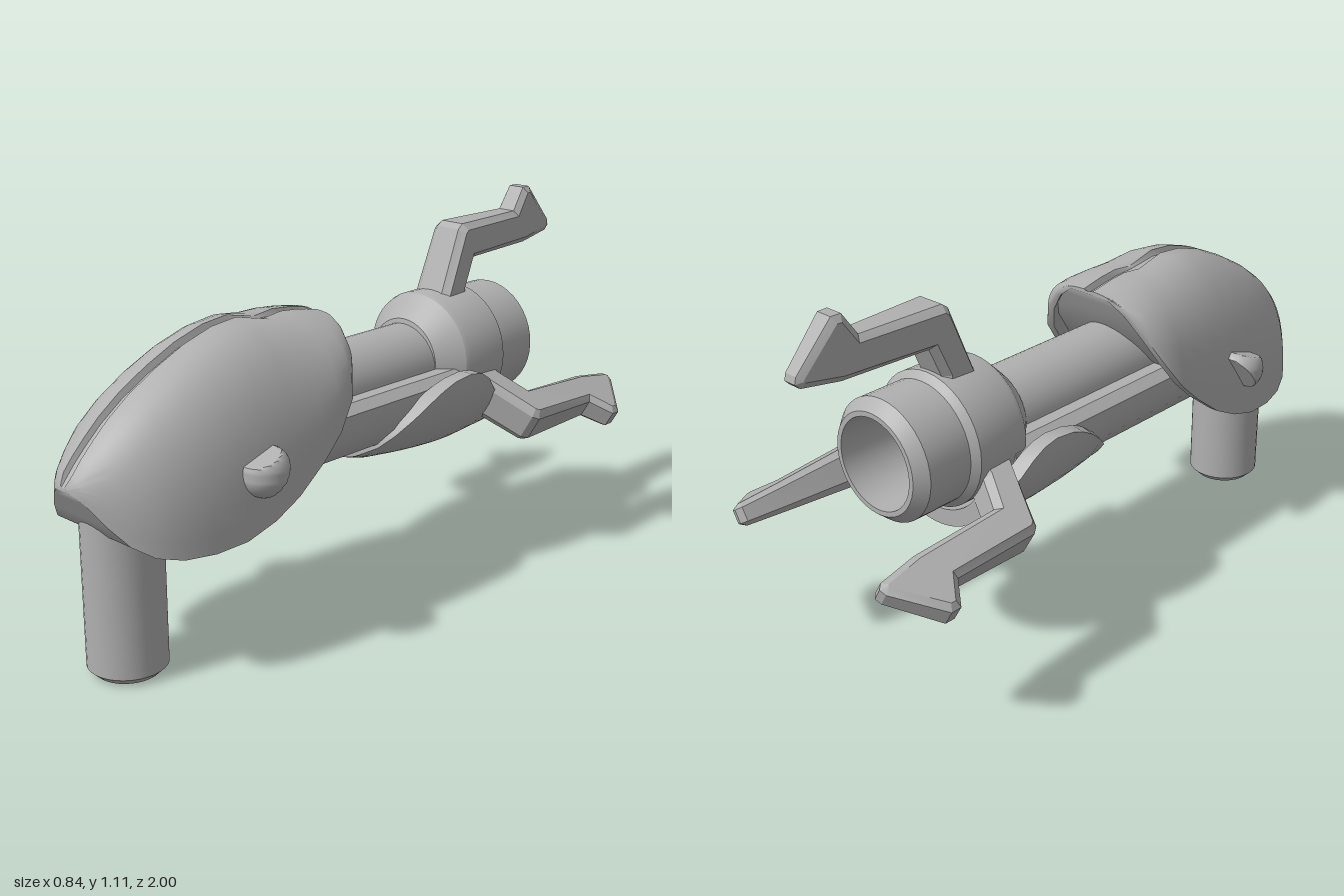
import * as THREE from 'three';
import { toCreasedNormals } from 'three/addons/utils/BufferGeometryUtils.js';

const AXIS_Y = 0.64; // height of the barrel axis

const grey = new THREE.MeshStandardMaterial({ color: 0xb0b0b0 });
grey.name = 'grey';

function part(name, geometry, crease = 0.6) {
  const mesh = new THREE.Mesh(toCreasedNormals(geometry, crease), grey);
  mesh.name = name;
  return mesh;
}

// Skins closed rings running from +z to -z, each counterclockwise seen from +z
function loft(rings, capCentre) {
  const n = rings[0].length;
  const positions = rings.flat(2);
  const index = [];
  for (let i = 0; i < rings.length - 1; i++) {
    for (let j = 0; j < n; j++) {
      const k = (j + 1) % n;
      const a = i * n + j, b = i * n + k, c = a + n, d = b + n;
      index.push(a, c, b, b, c, d);
    }
  }
  const last = (rings.length - 1) * n;
  for (const tri of capCentre(n)) {
    index.push(tri[0], tri[1], tri[2]);
    index.push(last + tri[0], last + tri[2], last + tri[1]);
  }
  const g = new THREE.BufferGeometry();
  g.setAttribute('position', new THREE.Float32BufferAttribute(positions, 3));
  g.setIndex(index);
  return g;
}

// End cap made of strips joining point j with its partner on the other side
const stripCap = (n) => {
  const tris = [];
  for (let j = 0; j < n / 2 - 1; j++) {
    const p = n - 1 - j;
    tris.push([j, j + 1, p], [j + 1, p - 1, p]);
  }
  return tris;
};

// Domed rear shell with a groove along its crest
function shellGeometry() {
  // z, top, bottom, half width
  const rows = [
    [0.998, 0.585, 0.57, 0.03], [0.98, 0.615, 0.545, 0.065], [0.95, 0.65, 0.49, 0.11],
    [0.91, 0.69, 0.435, 0.155], [0.86, 0.735, 0.4, 0.195], [0.79, 0.785, 0.382, 0.225],
    [0.7, 0.835, 0.378, 0.247], [0.6, 0.88, 0.385, 0.258], [0.5, 0.91, 0.415, 0.262],
    [0.41, 0.92, 0.46, 0.262], [0.31, 0.908, 0.535, 0.26], [0.24, 0.905, 0.6, 0.255],
    [0.18, 0.897, 0.68, 0.24], [0.14, 0.89, 0.76, 0.2], [0.115, 0.885, 0.83, 0.14],
    [0.1, 0.882, 0.87, 0.08],
  ];
  const power = 2.25, steps = 16;
  const rings = rows.map(([z, top, bottom, w]) => {
    const h = top - bottom;
    const groove = Math.min(0.018, w * 0.3);
    const end = Math.acos((groove / w) ** (power / 2));
    const half = [];
    for (let k = 0; k <= steps; k++) {
      const t = (end * k) / steps;
      const x = w * Math.cos(t) ** (2 / power);
      const y = bottom + h * Math.sin(t) ** (2 / power);
      // shallow dimple beside the groove
      const dent = 0.015 * Math.exp(-((x / 0.05) ** 2) - ((z - 0.32) / 0.06) ** 2);
      half.push([x, y - dent, z]);
    }
    half.push([groove * 0.6, top - Math.min(0.02, h * 0.3), z]);
    const mirrored = half.map(([x, y]) => [-x, y, z]).reverse();
    // underside, hollowed a little toward the barrel
    const recess = z < 0.65 ? Math.min(0.05, h * 0.25) : 0;
    const under = [-0.88, -0.8, 0.8, 0.88].map((f) =>
      [f * w, bottom + (Math.abs(f) < 0.85 ? recess : 0), z]);
    return [...half, ...mirrored, ...under];
  });
  return loft(rings, (n) => {
    const tris = [];
    for (let j = 1; j < n - 1; j++) tris.push([0, j, j + 1]);
    return tris;
  });
}

// Curved cradle wrapped under the barrel
function cradleGeometry() {
  // z, height of the upper edge, outer radius
  const rows = [
    [0.005, 0.425, 0.235], [-0.02, 0.46, 0.243], [-0.05, 0.5, 0.25], [-0.1, 0.545, 0.256],
    [-0.15, 0.585, 0.262], [-0.2, 0.615, 0.267], [-0.25, 0.635, 0.271], [-0.32, 0.645, 0.275],
    [-0.37, 0.635, 0.275], [-0.41, 0.61, 0.273], [-0.45, 0.565, 0.27], [-0.5, 0.525, 0.267],
    [-0.54, 0.5, 0.264],
  ];
  const steps = 24;
  const rings = rows.map(([z, edge, r]) => {
    const reach = Math.acos(Math.min(1, (AXIS_Y - edge) / r));
    const arc = (radius) => Array.from({ length: steps + 1 }, (_, k) => {
      const a = reach * ((2 * k) / steps - 1);
      return [0.95 * radius * Math.sin(a), AXIS_Y - radius * Math.cos(a), z];
    });
    return [...arc(r), ...arc(r - 0.05).reverse()];
  });
  return loft(rings, stripCap);
}

// Bent claw: side outline, chamfered and narrowed toward the tip
function clawGeometry() {
  const outline = [
    [0.39, 0.1], [0.54, 0.1], [0.535, 0.195], [0.575, 0.285], [0.86, 0.29], [0.985, 0.31],
    [1.0, 0.325], [0.995, 0.345], [0.88, 0.47], [0.848, 0.47], [0.8, 0.4], [0.525, 0.4],
    [0.505, 0.385],
  ];
  const shape = new THREE.Shape(outline.map(([x, y]) => new THREE.Vector2(x, y)));
  const g = new THREE.ExtrudeGeometry(shape, {
    depth: 0.09, bevelEnabled: true, bevelSegments: 1,
    bevelSize: 0.018, bevelOffset: -0.018, bevelThickness: 0.025,
  });
  g.translate(0, 0, -0.045);
  g.rotateY(Math.PI / 2);
  const p = g.attributes.position;
  for (let i = 0; i < p.count; i++) {
    const t = THREE.MathUtils.clamp((-p.getZ(i) - 0.44) / 0.56, 0, 1);
    p.setX(i, p.getX(i) * THREE.MathUtils.lerp(1, 0.44, t));
  }
  return g;
}

// Ball knob cut flat on its rear and upper faces
function knobGeometry() {
  const g = new THREE.SphereGeometry(0.073, 32, 24);
  const cuts = [
    [new THREE.Vector3(0, -0.55, -0.83).normalize(), 0.022],
    [new THREE.Vector3(0, 0.95, 0.32).normalize(), 0.046],
  ];
  const p = g.attributes.position;
  const v = new THREE.Vector3();
  for (let i = 0; i < p.count; i++) {
    v.fromBufferAttribute(p, i);
    for (const [normal, limit] of cuts) {
      const over = v.dot(normal) - limit;
      if (over > 0) v.addScaledVector(normal, -over);
    }
    p.setXYZ(i, v.x, v.y, v.z);
  }
  return g;
}

// Lathe turned so that its profile runs toward -z
function turned(profile) {
  const g = new THREE.LatheGeometry(profile.map(([r, d]) => new THREE.Vector2(r, d)), 40);
  return g.rotateX(-Math.PI / 2);
}

export function createModel() {
  const model = new THREE.Group();
  model.name = 'clawedDevice';

  // Grip
  const grip = part('grip', new THREE.LatheGeometry(
    [[0, 0], [0.09, 0], [0.113, 0.022], [0.113, 0.47], [0, 0.47]]
      .map(([r, y]) => new THREE.Vector2(r, y)), 32));
  grip.position.z = 0.817;
  model.add(grip);

  // Shell and side knobs
  model.add(part('shell', shellGeometry(), 0.7));
  for (const side of [1, -1]) {
    const knob = part(side > 0 ? 'leftKnob' : 'rightKnob', knobGeometry());
    knob.position.set(side * 0.252, 0.565, 0.53);
    model.add(knob);
  }

  // Lower body under the barrel
  const half = [[0.1, 0.445], [0.15, 0.47], [0.185, 0.515], [0.2, 0.57], [0.2, 0.61], [0.17, 0.635]];
  const section = [...half, ...half.map(([x, y]) => [-x, y]).reverse()];
  const body = part('lowerBody', new THREE.ExtrudeGeometry(
    new THREE.Shape(section.map(([x, y]) => new THREE.Vector2(x, y))),
    { depth: 0.9, bevelEnabled: false }));
  body.position.z = -0.42;
  model.add(body);

  // Barrel tube
  const barrel = part('barrel', turned([[0, -0.4], [0.13, -0.4], [0.13, 0.4], [0, 0.4]]));
  barrel.position.y = 0.625;
  model.add(barrel);

  // Collar and hollow muzzle
  const muzzle = part('muzzle', turned([
    [0.1, 0.3], [0.13, 0.305], [0.195, 0.375], [0.2, 0.39], [0.2, 0.55], [0.18, 0.57],
    [0.18, 0.715], [0.15, 0.75], [0.135, 0.75], [0.12, 0.5], [0, 0.5],
  ]), 0.4);
  muzzle.position.y = AXIS_Y;
  model.add(muzzle);

  model.add(part('cradle', cradleGeometry()));

  // Three claws spaced evenly around the barrel axis
  ['topClaw', 'rightClaw', 'leftClaw'].forEach((name, i) => {
    const claw = part(name, clawGeometry(), 0.3);
    claw.position.y = AXIS_Y;
    claw.rotation.z = (i * Math.PI * 2) / 3;
    model.add(claw);
  });

  return model;
}
